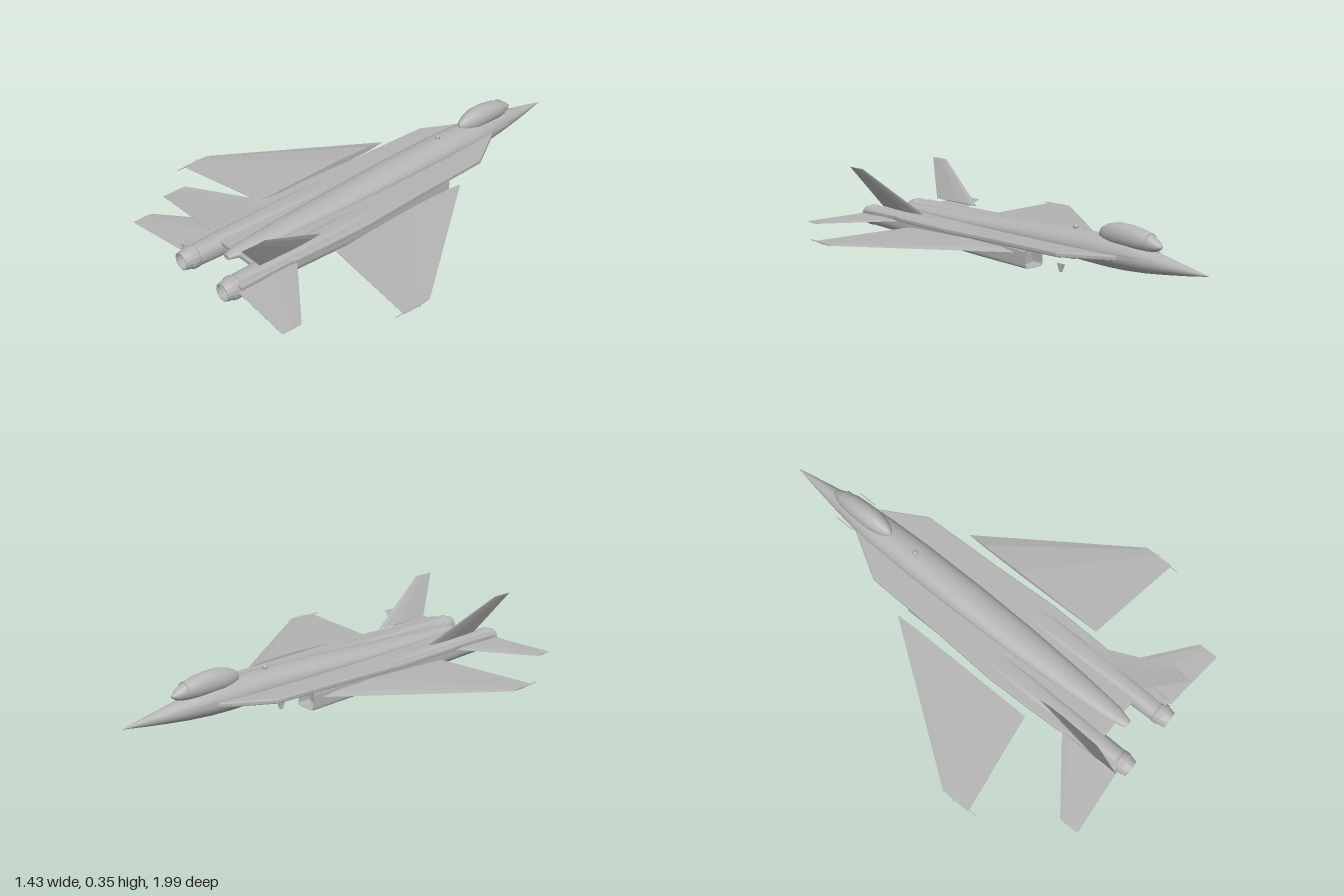
import * as THREE from 'three';

const grey = new THREE.MeshStandardMaterial({ color: 0xb4b4b4, side: THREE.DoubleSide });
grey.name = 'airframe grey';

// Skin a list of equal-length rings [[x,y,z],...], optionally closing the ends.
function skin(rings, capStart, capEnd) {
  const n = rings[0].length, pos = rings.flat(2), idx = [];
  for (let k = 0; k < rings.length - 1; k++) {
    for (let i = 0; i < n; i++) {
      const j = (i + 1) % n;
      const a = k * n + i, b = k * n + j, c = b + n, d = a + n;
      idx.push(a, b, c, a, c, d);
    }
  }
  const cap = (ring, flip) => {
    const base = pos.length / 3;
    pos.push(...ring.flat());
    for (let i = 1; i < n - 1; i++) {
      idx.push(base, base + (flip ? i + 1 : i), base + (flip ? i : i + 1));
    }
  };
  if (capStart) cap(rings[0], true);
  if (capEnd) cap(rings[rings.length - 1], false);
  const g = new THREE.BufferGeometry();
  g.setAttribute('position', new THREE.Float32BufferAttribute(pos, 3));
  g.setIndex(idx);
  g.computeVertexNormals();
  return g;
}

// Rounded section: z, bottom, top, half width, squareness (2 = ellipse).
function section(cx, [z, bottom, top, hw, p = 2], n = 40) {
  const f = v => Math.sign(v) * Math.pow(Math.abs(v), 2 / p);
  return Array.from({ length: n }, (_, i) => {
    const t = i / n * Math.PI * 2;
    return [cx + hw * f(Math.cos(t)), (top + bottom) / 2 + (top - bottom) / 2 * f(Math.sin(t)), z];
  });
}
const loft = (cx, rows, a = true, b = true) => skin(rows.map(r => section(cx, r)), a, b);

// Tapered aerofoil from root to tip; each end is {le, te, t}, up is the thickness direction.
function aerofoil(root, tip, up) {
  const profile = [[0, 0], [0.12, 0.7], [0.4, 1], [1, 0.1], [1, -0.1], [0.4, -1], [0.12, -0.7]];
  const ring = ({ le, te, t }) => profile.map(([c, h]) =>
    le.map((v, i) => v + (te[i] - v) * c + up[i] * h * t / 2));
  const g = skin([ring(root), ring(tip)], true, true).toNonIndexed();
  g.computeVertexNormals();
  return g;
}

// Mirror a geometry in x and restore its winding.
function mirrorX(source) {
  const g = source.index ? source.toNonIndexed() : source.clone();
  g.scale(-1, 1, 1);
  for (const attr of Object.values(g.attributes)) {
    for (let i = 0; i < attr.count; i += 3) {
      for (let k = 0; k < attr.itemSize; k++) {
        const v = attr.getComponent(i + 1, k);
        attr.setComponent(i + 1, k, attr.getComponent(i + 2, k));
        attr.setComponent(i + 2, k, v);
      }
    }
  }
  return g;
}

export function createModel() {
  const model = new THREE.Group();
  model.name = 'jetAircraft';
  const add = (name, g) => {
    const m = new THREE.Mesh(g, grey);
    m.name = name;
    model.add(m);
  };
  // The nose points to -z, the model's own left is +x
  const pair = (name, g) => {
    add('left' + name, g);
    add('right' + name, mirrorX(g));
  };
  const box = (w, h, d, x, y, z) => new THREE.BoxGeometry(w, h, d).translate(x, y, z);

  // Fuselage with pointed nose and tapering spine
  add('fuselage', loft(0, [
    [-1, 0.119, 0.121, 0.001], [-0.9, 0.104, 0.14, 0.019], [-0.8, 0.091, 0.158, 0.036],
    [-0.7, 0.08, 0.179, 0.052], [-0.6, 0.074, 0.194, 0.067], [-0.5, 0.073, 0.2, 0.075],
    [-0.3, 0.08, 0.203, 0.08], [0, 0.09, 0.194, 0.08], [0.3, 0.1, 0.179, 0.073],
    [0.6, 0.11, 0.168, 0.056], [0.8, 0.115, 0.162, 0.038], [0.87, 0.128, 0.15, 0.018],
  ]));

  // Bubble canopy and its windscreen frame
  add('canopy', loft(0, [
    [-0.77, 0.188, 0.198, 0.006], [-0.75, 0.175, 0.215, 0.021], [-0.71, 0.165, 0.239, 0.035],
    [-0.66, 0.16, 0.253, 0.043], [-0.6, 0.16, 0.261, 0.047], [-0.54, 0.16, 0.261, 0.047],
    [-0.49, 0.165, 0.25, 0.037], [-0.455, 0.175, 0.232, 0.022], [-0.44, 0.19, 0.215, 0.007],
  ]));
  add('windscreenFrame', loft(0, [[-0.713, 0.165, 0.241, 0.037], [-0.705, 0.165, 0.243, 0.038]]));
  add('spineBeacon', new THREE.SphereGeometry(0.012, 12, 8).translate(0, 0.208, -0.3));

  // Flat central deck with swept leading extensions
  const half = [[0.065, -0.59], [0.186, -0.38], [0.197, 0], [0.212, 0.3], [0.207, 0.5],
    [0.2, 0.66], [0.192, 0.7], [0.192, 0.94], [0.165, 0.94], [0.155, 0.82]];
  const outline = [...half, ...half.map(([x, z]) => [-x, z]).reverse()];
  const deck = new THREE.ExtrudeGeometry(
    new THREE.Shape(outline.map(p => new THREE.Vector2(...p))),
    { depth: 0.01, bevelThickness: 0.006, bevelSize: 0.005, bevelSegments: 2 });
  add('deck', deck.rotateX(Math.PI / 2).translate(0, 0.136, 0));

  // Engine nacelles: square intake blending to a round tail
  pair('Nacelle', loft(0.135, [
    [-0.19, 0.036, 0.119, 0.05, 7], [0.1, 0.04, 0.138, 0.05, 6], [0.4, 0.047, 0.147, 0.05, 4],
    [0.7, 0.054, 0.151, 0.049, 2.6], [0.94, 0.058, 0.15, 0.046, 2],
  ], false, true));
  pair('IntakeDuct', loft(0.135, [
    [-0.13, 0.04, 0.115, 0.046, 7], [-0.19, 0.04, 0.115, 0.046, 7], [-0.19, 0.036, 0.119, 0.05, 7],
  ], true, false));

  // Exhaust nozzles with flame-holder spokes
  const nozzle = new THREE.LatheGeometry([
    [0.045, 0.92], [0.049, 0.935], [0.049, 0.957], [0.044, 0.962], [0.038, 0.993],
    [0.033, 0.993], [0.036, 0.955], [0, 0.95],
  ].map(p => new THREE.Vector2(...p)), 16).toNonIndexed();
  nozzle.computeVertexNormals();
  pair('Nozzle', nozzle.rotateX(Math.PI / 2).translate(0.135, 0.105, 0));
  pair('NozzleHub', new THREE.CylinderGeometry(0.01, 0.014, 0.02, 12)
    .rotateX(Math.PI / 2).translate(0.135, 0.105, 0.96));
  for (let i = 0; i < 6; i++) {
    pair('NozzleSpoke' + (i + 1), box(0.026, 0.004, 0.008, 0.021, 0, 0)
      .rotateZ(i * Math.PI / 3).translate(0.135, 0.105, 0.957));
  }

  // Main wings
  pair('Wing', aerofoil(
    { le: [0.245, 0.118, -0.195], te: [0.245, 0.118, 0.515], t: 0.03 },
    { le: [0.705, 0.11, 0.45], te: [0.705, 0.11, 0.585], t: 0.006 }, [0, 1, 0]));
  pair('WingTipProbe', box(0.003, 0.003, 0.04, 0.697, 0.11, 0.6));
  pair('WingTipLight', box(0.01, 0.003, 0.006, 0.708, 0.11, 0.51));
  for (const [x, z] of [[0.36, 0.2], [0.49, 0.35]]) {
    pair('WingRail', box(0.005, 0.008, 0.12, x, 0.102, z));
  }

  // Horizontal tailplanes
  pair('Tailplane', aerofoil(
    { le: [0.19, 0.118, 0.67], te: [0.19, 0.118, 0.957], t: 0.014 },
    { le: [0.488, 0.112, 0.895], te: [0.488, 0.112, 0.985], t: 0.004 }, [0, 1, 0]));

  // Outward-canted twin fins
  pair('Fin', aerofoil(
    { le: [0.16, 0.165, 0.525], te: [0.162, 0.165, 0.83], t: 0.014 },
    { le: [0.25, 0.347, 0.865], te: [0.25, 0.347, 0.97], t: 0.005 }, [-0.89, 0.45, 0]));

  // Nose sensor blades and small ventral fin
  pair('NoseProbe', box(0.003, 0.005, 0.09, 0.077, 0.15, -0.65));
  const blade = new THREE.Shape([[0.19, 0.036], [0.235, 0.036], [0.218, 0], [0.205, 0]]
    .map(p => new THREE.Vector2(...p)));
  add('ventralBlade', new THREE.ExtrudeGeometry(blade, { depth: 0.004, bevelEnabled: false })
    .rotateY(Math.PI / 2).translate(-0.002, 0, 0));

  return model;
}
